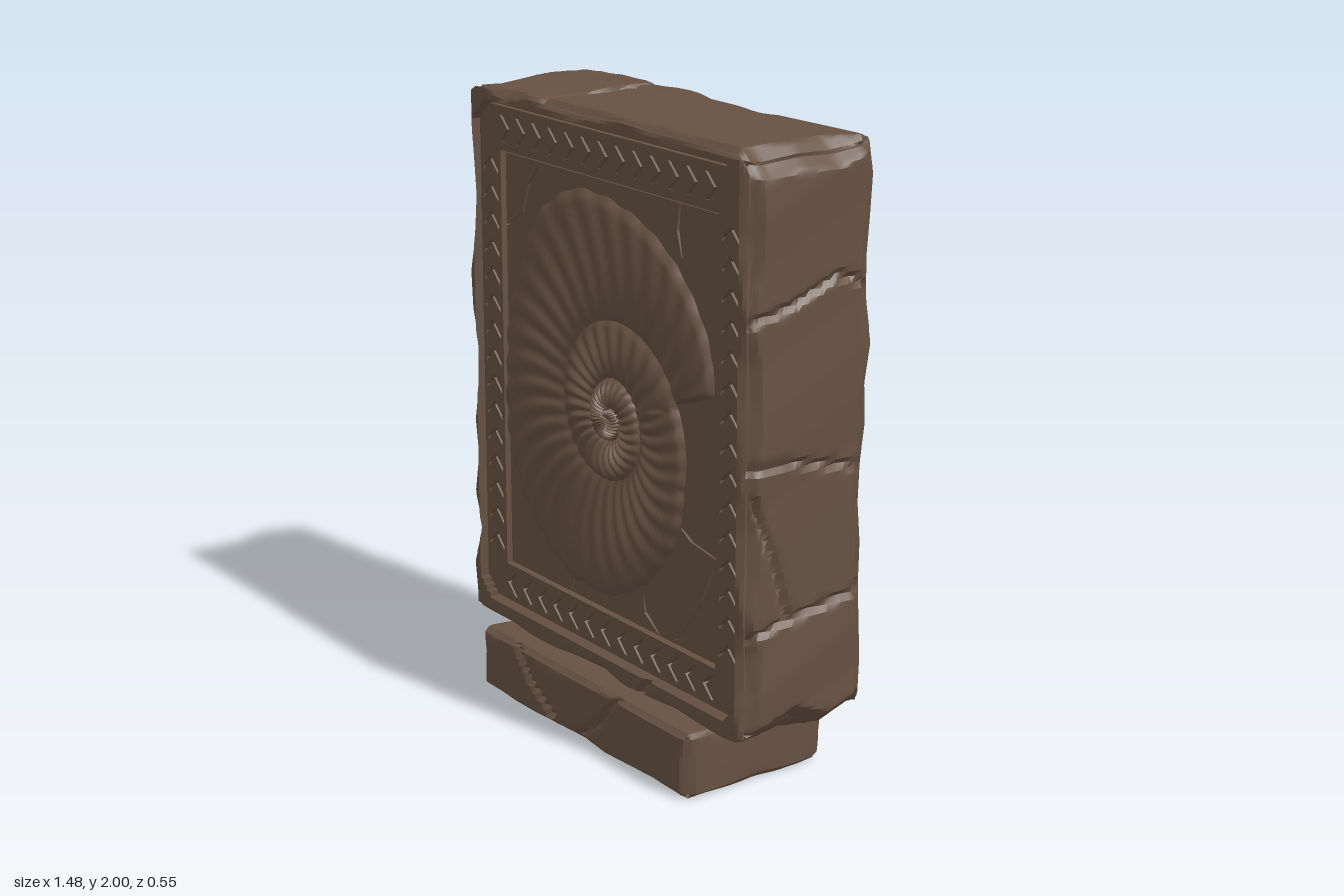
import * as THREE from 'three';
import { mergeVertices, toCreasedNormals } from 'three/addons/utils/BufferGeometryUtils.js';

const stone = new THREE.MeshStandardMaterial({ color: 0x665143 });
stone.name = 'brown stone';

const FLOOR = 0.15;                                          // recessed face of the slab
const PANEL = { x: 0.56, y0: 0.41, y1: 1.79 };
const BAND = { x: 0.675, y0: 0.285, y1: 1.93 };

function add(group, name, geometry) {
  const mesh = new THREE.Mesh(geometry, stone);
  mesh.name = name;
  group.add(mesh);
  return mesh;
}

const hash = n => {
  const s = Math.sin(n * 127.1 + 11.7) * 43758.5453;
  return s - Math.floor(s);
};
// Piecewise linear random value, which gives chipped, faceted edges
const chip = (t, seed) => {
  const i = Math.floor(t), f = t - i;
  return hash(i + seed * 37) * (1 - f) + hash(i + 1 + seed * 37) * f;
};

function distanceToPath(u, v, pts) {
  let best = Infinity;
  for (let i = 0; i + 1 < pts.length; i++) {
    const [ax, ay] = pts[i], [bx, by] = pts[i + 1];
    const dx = bx - ax, dy = by - ay;
    const t = THREE.MathUtils.clamp(((u - ax) * dx + (v - ay) * dy) / (dx * dx + dy * dy), 0, 1);
    best = Math.min(best, Math.hypot(u - ax - dx * t, v - ay - dy * t));
  }
  return best;
}

// Weathered block: chipped edges, wavy sides, carved cracks and an optional recess
function stoneBlock(lo, hi, segs, bevel, wave, cracks, recess) {
  let geo = new THREE.BoxGeometry(...hi.map((h, i) => h - lo[i]), ...segs);
  geo.translate(...hi.map((h, i) => (h + lo[i]) / 2));
  geo.deleteAttribute('uv');
  geo.deleteAttribute('normal');
  geo = mergeVertices(geo);
  const pos = geo.attributes.position;
  const planes = [[2, 1], [0, 2], [0, 1]];
  for (let i = 0; i < pos.count; i++) {
    const o = [pos.getX(i), pos.getY(i), pos.getZ(i)], p = [...o];
    const side = o.map((c, k) => (c > (lo[k] + hi[k]) / 2 ? 1 : -1));
    const gap = o.map((c, k) => Math.min(c - lo[k], hi[k] - c));
    for (let a = 0; a < 3; a++) {
      // Waves and cracks push a face inward
      if (gap[a] < 1e-5) {
        const [u, v] = planes[a].map(k => o[k]);
        if (a < 2) p[a] -= side[a] * wave * chip(v * 7 + u * 3, a + side[a] * 5 + 9);
        for (const c of cracks) {
          if (c.axis !== a || c.side !== side[a]) continue;
          p[a] -= side[a] * 0.022 * Math.max(0, 1 - distanceToPath(u, v, c.pts) / 0.018);
        }
      }
      // Chipped bevel on the edge that runs along axis a
      const b = (a + 1) % 3, c = (a + 2) % 3;
      const size = bevel[a] * (0.3 + 0.7 * chip(o[a] * 8, a * 4 + side[b] * 2 + side[c] + 20));
      const cut = (size - gap[b] - gap[c]) / 2;
      if (cut > 0) {
        p[b] -= side[b] * cut;
        p[c] -= side[c] * cut;
      }
    }
    if (recess && gap[2] < 1e-5 && Math.abs(o[0]) < BAND.x && o[1] > BAND.y0 && o[1] < BAND.y1
      && BAND.x - Math.abs(o[0]) + Math.min(o[1] - BAND.y0, BAND.y1 - o[1]) > 0.05) {
      p[2] = side[2] > 0 ? recess[1] : recess[0];
    }
    pos.setXYZ(i, ...p);
  }
  return toCreasedNormals(geo, 0.5);
}

const path = pts => new THREE.Path(pts.map(([x, y]) => new THREE.Vector2(x, y)));
const rect = (x, y0, y1, c = 0) => c
  ? [[-x + c, y0], [x - c, y0], [x, y0 + c], [x, y1 - c], [x - c, y1], [-x + c, y1], [-x, y1 - c], [-x, y0 + c]]
  : [[-x, y0], [x, y0], [x, y1], [-x, y1]];

function plate(outline, holes, depth) {
  const shape = new THREE.Shape(outline.map(([x, y]) => new THREE.Vector2(x, y)));
  shape.holes = holes.map(path);
  return new THREE.ExtrudeGeometry(shape, { depth, bevelEnabled: false });
}

// Tapered slit that follows a line
function slit(pts, width = 0.007) {
  const a = [], b = [];
  pts.forEach(([x, y], i) => {
    const p = pts[Math.max(0, i - 1)], q = pts[Math.min(pts.length - 1, i + 1)];
    const l = Math.hypot(q[0] - p[0], q[1] - p[1]);
    const w = i === 0 || i === pts.length - 1 ? 0.002 : width;
    const nx = -(q[1] - p[1]) / l * w, ny = (q[0] - p[0]) / l * w;
    a.push([x + nx, y + ny]);
    b.unshift([x - nx, y - ny]);
  });
  return [...a, ...b];
}

// Chevron groove pointing along an angle
function chevron(cx, cy, angle) {
  const c = Math.cos(angle), s = Math.sin(angle);
  return [[-0.03, 0.042], [-0.017, 0.042], [0.027, 0], [-0.017, -0.042], [-0.03, -0.042], [0.012, 0]]
    .map(([x, y]) => [cx + x * c - y * s, cy + x * s + y * c]);
}

function bandGeometry() {
  const holes = [rect(PANEL.x, PANEL.y0, PANEL.y1)];
  for (let i = 0; i < 13; i++) {
    const x = -0.53 + i * 0.088;
    holes.push(chevron(x, 1.86, 0), chevron(x, 0.346, Math.PI));
  }
  for (let i = 0; i < 15; i++) {
    const y = 0.48 + i * 0.09;
    holes.push(chevron(-0.618, y, Math.PI / 2), chevron(0.618, y, Math.PI / 2));
  }
  return plate(rect(BAND.x, BAND.y0, BAND.y1, 0.05), holes, 0.024);
}

// Outer radius of the shell spiral by angle in degrees
const SPIRAL = [[20, 0.55], [36, 0.6], [61, 0.645], [87, 0.685], [106, 0.725], [122, 0.71], [143, 0.625],
  [176, 0.58], [219, 0.63], [249, 0.63], [268, 0.595], [297, 0.505], [340, 0.395], [381, 0.355], [450, 0.31],
  [540, 0.24], [630, 0.2], [720, 0.15], [810, 0.13], [900, 0.09], [990, 0.07], [1080, 0.05], [1240, 0.02], [1700, 0]];
function spiralRadius(deg) {
  const i = Math.max(1, SPIRAL.findIndex(s => s[0] >= deg));
  const [a, ra] = SPIRAL[i - 1], [b, rb] = SPIRAL[i];
  return ra + (rb - ra) * (deg - a) / (b - a);
}

// Coiled shell relief with ribs across the whorls
function shellGeometry() {
  const verts = [], index = [], steps = 800, across = 16;
  for (let i = 0; i <= steps; i++) {
    const deg = 20 + i * 1.5, th = THREE.MathUtils.degToRad(deg);
    const inner = spiralRadius(deg + 360), outer = spiralRadius(deg);
    const ribs = deg < 380 ? 34 : 26;
    for (let j = 0; j <= across; j++) {
      const v = j / across;
      const groove = Math.pow(Math.abs(Math.cos((th - 0.22 * v * v) * ribs / 2)), 3);
      const r = inner + (outer - inner) * v * (deg < 340 ? 1 - 0.02 * groove * v : 1);
      let z = 0.165 + 0.035 * Math.pow(Math.sin(Math.PI * v), 0.6) * (1 - 0.45 * groove);
      if (i === 0 || (j === across && deg < 380)) z = FLOOR;
      verts.push(0.02 + r * Math.cos(th), 1.05 + r * Math.sin(th), z);
      if (i < steps && j < across) {
        const a = i * (across + 1) + j, b = a + across + 1;
        index.push(a, a + 1, b, a + 1, b + 1, b);
      }
    }
  }
  const geo = new THREE.BufferGeometry();
  geo.setAttribute('position', new THREE.Float32BufferAttribute(verts, 3));
  geo.setIndex(index);
  geo.computeVertexNormals();
  return geo;
}

export function createModel() {
  const model = new THREE.Group();
  model.name = 'carvedStoneTablet';

  // Main slab, cracked on the sides and top
  const sideCracks = [
    [[0.2, 1.5], [0.05, 1.53], [-0.13, 1.6], [-0.28, 1.55]],
    [[0.2, 1.07], [0.05, 1.07], [-0.28, 1]],
    [[0.17, 0.97], [0.1, 0.8], [0.04, 0.6]],
    [[0.2, 0.54], [0.05, 0.58], [-0.28, 0.63]]];
  const cracks = sideCracks.flatMap(pts => [
    { axis: 0, side: 1, pts },
    { axis: 0, side: -1, pts: pts.map(([z, y]) => [z, y + 0.1 - z * 0.3]) }]);
  cracks.push(
    { axis: 1, side: 1, pts: [[-0.29, -0.28], [-0.3, -0.15], [-0.32, 0], [-0.32, 0.2]] },
    { axis: 1, side: 1, pts: [[-0.3, -0.13], [-0.2, -0.19]] },
    { axis: 2, side: 1, pts: [[0.2, 0.2], [0.26, 0.285]] });
  add(model, 'slab', stoneBlock([-0.742, 0.2, -0.272], [0.738, 2, 0.198], [80, 100, 26],
    [0.05, 0.075, 0.12], 0.016, cracks, [-0.235, FLOOR]));

  // Plinth
  add(model, 'plinth', stoneBlock([-0.57, 0, -0.25], [0.555, 0.215, 0.275], [60, 12, 28],
    [0.03, 0.035, 0.03], 0.006, [
      { axis: 2, side: 1, pts: [[-0.36, 0.21], [-0.28, 0.11], [-0.15, 0.03]] },
      { axis: 2, side: 1, pts: [[0.19, 0.21], [0.1, 0.1], [-0.02, 0.01]] }]));

  // Inner panels with crack slits
  const frontCracks = [
    [[-0.55, 1.55], [-0.46, 1.6], [-0.42, 1.7], [-0.37, 1.77]], [[0.36, 1.78], [0.35, 1.7], [0.37, 1.62]],
    [[0.36, 0.8], [0.42, 0.77], [0.55, 0.745]], [[0.53, 0.71], [0.47, 0.58], [0.35, 0.43]],
    [[0.18, 0.52], [0.19, 0.47], [0.26, 0.42]], [[-0.21, 0.42], [-0.19, 0.47]]];
  const backCracks = [
    [[-0.07, 0.99], [0.08, 0.94], [0.2, 0.85], [0.19, 0.7], [0.18, 0.53]], [[0.23, 0.87], [0.3, 0.93], [0.39, 0.96]],
    [[-0.34, 0.93], [-0.29, 0.88], [-0.24, 0.86]], [[-0.55, 1.25], [-0.52, 1.14], [-0.48, 1.05]],
    [[-0.48, 0.6], [-0.35, 0.57], [-0.2, 0.53]], [[0.2, 0.49], [0.35, 0.47], [0.5, 0.44]]];
  const panel = list => plate(rect(PANEL.x - 0.008, PANEL.y0 + 0.008, PANEL.y1 - 0.008), list.map(c => slit(c)), 0.009);
  add(model, 'frontPanel', panel(frontCracks)).position.z = FLOOR;
  const backPanel = add(model, 'backPanel', panel(backCracks));
  backPanel.rotation.y = Math.PI;
  backPanel.position.z = -0.235;

  // Chevron borders
  const band = bandGeometry();
  add(model, 'frontChevronBorder', band).position.z = FLOOR;
  const backBand = add(model, 'backChevronBorder', band);
  backBand.rotation.y = Math.PI;
  backBand.position.z = -0.235;

  // Spiral fossil
  add(model, 'spiralShell', shellGeometry());
  return model;
}
